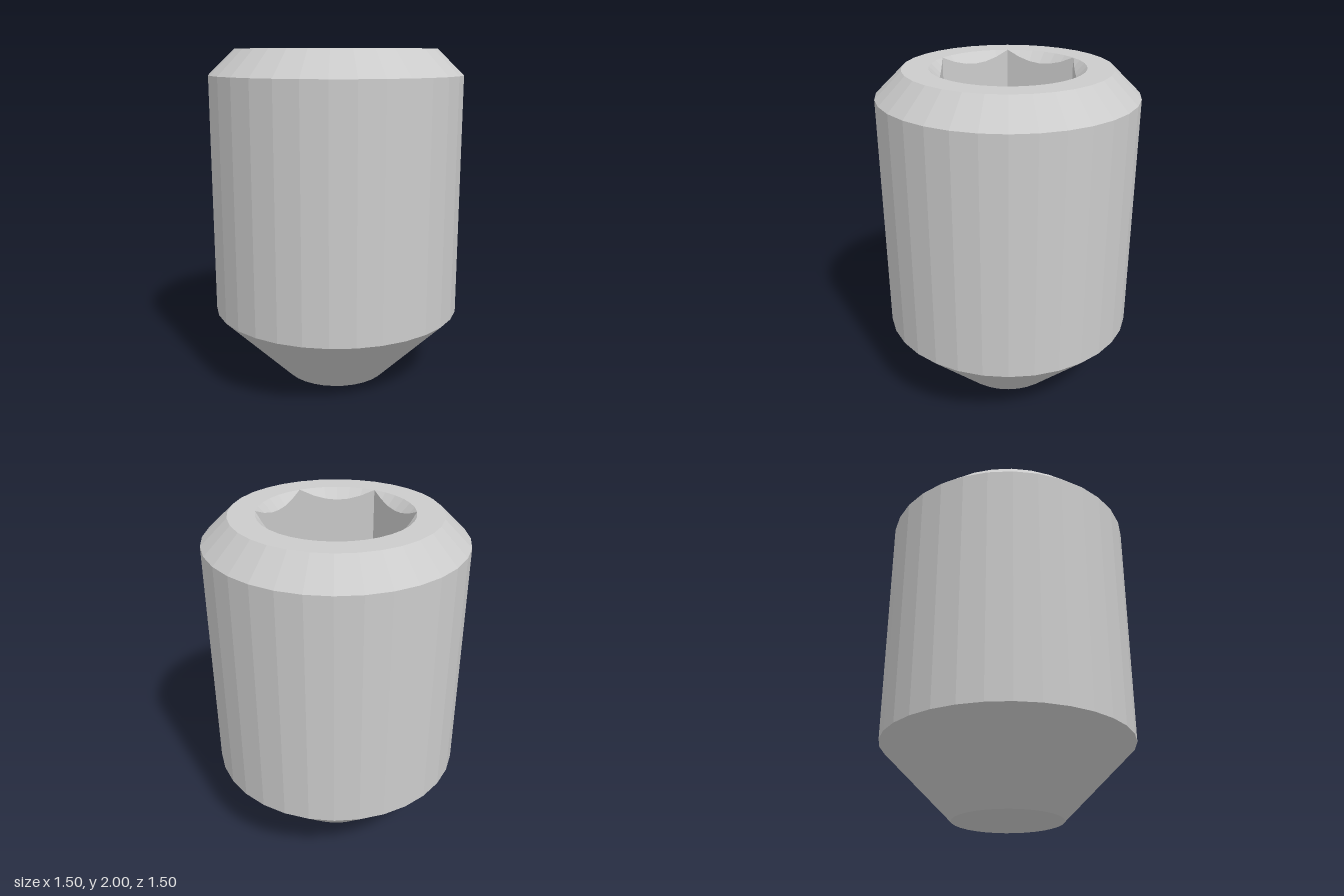
import * as THREE from 'three';

const SIDES = 32;          // facets around the body
const HEX_R = 0.443;       // socket corner radius
const STEPS = 36;          // steps around the socket
const SOCKET_FLOOR = 1.0;
const TOP = 2, RIM_R = 0.595;

const material = new THREE.MeshStandardMaterial({ color: 0xcccccc, flatShading: true });

function addPart(group, name, geometry) {
  const mesh = new THREE.Mesh(geometry, material);
  mesh.name = name;
  group.add(mesh);
  return mesh;
}

// Points of a circle in the shape plane
function circle(radius, count) {
  return Array.from({ length: count }, (_, i) => {
    const a = (i / count) * Math.PI * 2;
    return new THREE.Vector2(radius * Math.cos(a), radius * Math.sin(a));
  });
}

// Distance from the axis to the hexagon's side at an angle
function hexRadius(a) {
  const sector = Math.PI / 3;
  const local = (a % sector) - sector / 2;
  return (HEX_R * Math.cos(sector / 2)) / Math.cos(local);
}

// Inward-facing band between two closed loops, lower and upper
function band(lower, upper) {
  const pos = [];
  for (let i = 0; i < lower.length; i++) {
    const j = (i + 1) % lower.length;
    for (const p of [lower[i], lower[j], upper[j], lower[i], upper[j], upper[i]]) pos.push(...p);
  }
  const g = new THREE.BufferGeometry();
  g.setAttribute('position', new THREE.Float32BufferAttribute(pos, 3));
  g.computeVertexNormals();
  return g;
}

// One loop around the axis; radius and height depend on the angle
function loop(radiusAt, heightAt) {
  return Array.from({ length: STEPS }, (_, i) => {
    const a = (i / STEPS) * Math.PI * 2;
    const r = radiusAt(a);
    return [r * Math.cos(a), heightAt(r), r * Math.sin(a)];
  });
}

export function createModel() {
  const group = new THREE.Group();
  group.name = 'setScrew';

  // Cup recess, tapered point, shank and top chamfer
  const profile = [[0, 0.185], [0.32, 0], [0.75, 0.43], [0.75, 1.85], [RIM_R, TOP]];
  addPart(group, 'body', new THREE.LatheGeometry(
    profile.map(([x, y]) => new THREE.Vector2(x, y)), SIDES));

  // Flat ring around the socket
  const ring = new THREE.Shape(circle(RIM_R, SIDES));
  ring.holes.push(new THREE.Path(circle(HEX_R, STEPS)));
  addPart(group, 'topRing', new THREE.ShapeGeometry(ring).rotateX(-Math.PI / 2)).position.y = TOP;

  // Conical lead-in cut down onto the hexagon, giving scalloped edges
  const rim = loop(() => HEX_R, () => TOP);
  const scallop = loop(hexRadius, r => TOP - (HEX_R - r));
  const floor = loop(hexRadius, () => SOCKET_FLOOR);
  addPart(group, 'socketChamfer', band(scallop, rim));
  addPart(group, 'socketWalls', band(floor, scallop));

  // Hexagonal floor of the socket
  addPart(group, 'socketFloor', new THREE.CircleGeometry(HEX_R, 6).rotateX(-Math.PI / 2))
    .position.y = SOCKET_FLOOR;

  return group;
}
